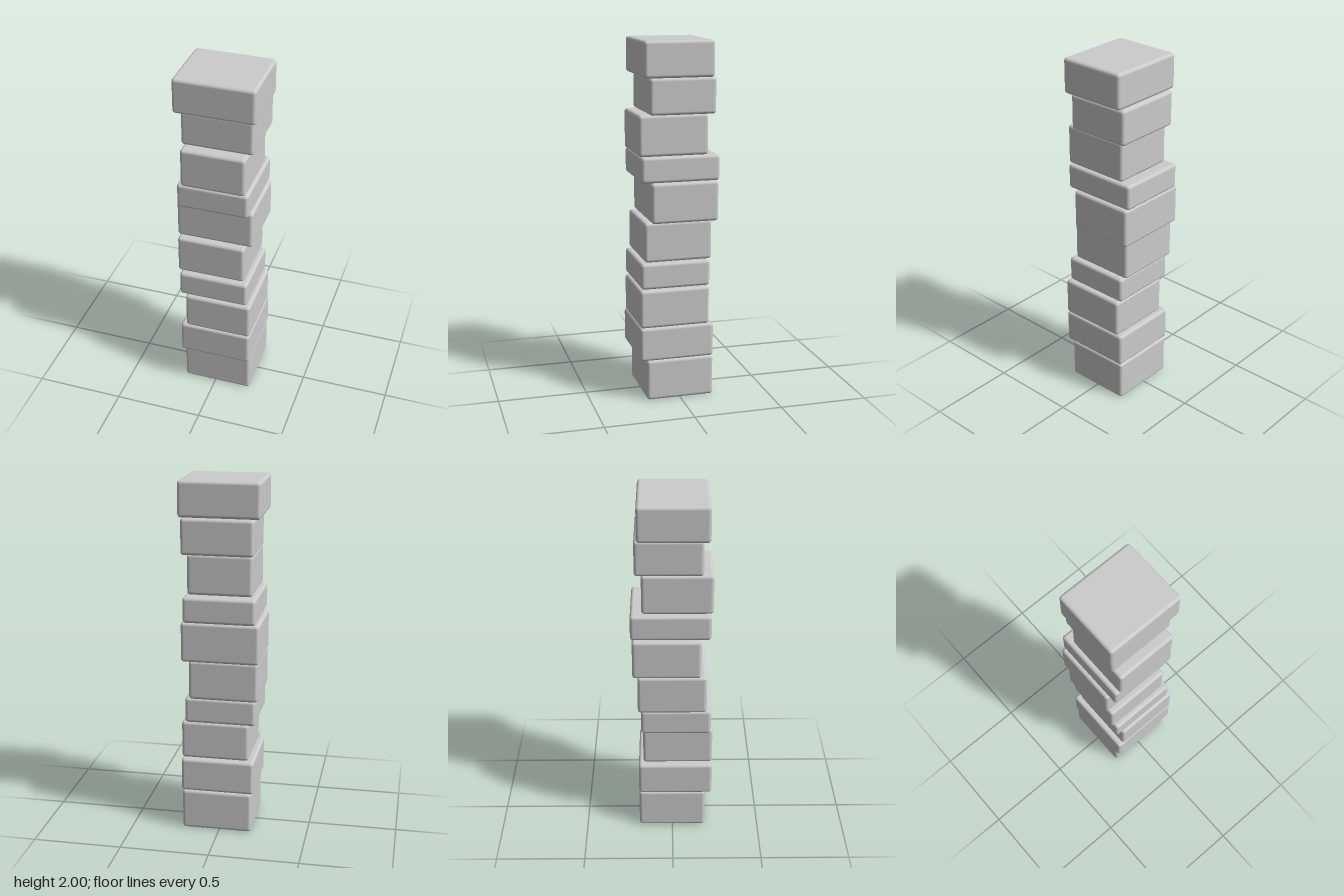
import * as THREE from 'three';
import { RoundedBoxGeometry } from 'three/addons/geometries/RoundedBoxGeometry.js';

// One row per block, bottom to top: [top y, min x, max x, min z, max z]
const BLOCKS = [
  [0.233, -0.185, 0.212, -0.193, 0.190],
  [0.426, -0.196, 0.217, -0.193, 0.228],
  [0.642, -0.164, 0.218, -0.167, 0.228],
  [0.788, -0.201, 0.196, -0.176, 0.216],
  [1.012, -0.217, 0.170, -0.193, 0.190],
  [1.236, -0.226, 0.207, -0.220, 0.158],
  [1.379, -0.206, 0.194, -0.229, 0.211],
  [1.604, -0.180, 0.180, -0.167, 0.221],
  [1.803, -0.190, 0.207, -0.203, 0.166],
  [2.000, -0.223, 0.225, -0.188, 0.200],
];

export function createModel() {
  const tower = new THREE.Group();
  tower.name = 'blockTower';
  const material = new THREE.MeshStandardMaterial({ color: 0xcccccc });

  // Stack of softly rounded blocks, each shifted a little off centre
  let bottom = 0;
  BLOCKS.forEach(([top, x0, x1, z0, z1], i) => {
    const geometry = new RoundedBoxGeometry(x1 - x0, top - bottom, z1 - z0, 3, 0.018);
    const block = new THREE.Mesh(geometry, material);
    block.name = `block${i + 1}`;
    block.position.set((x0 + x1) / 2, (bottom + top) / 2, (z0 + z1) / 2);
    tower.add(block);
    bottom = top;
  });
  return tower;
}
